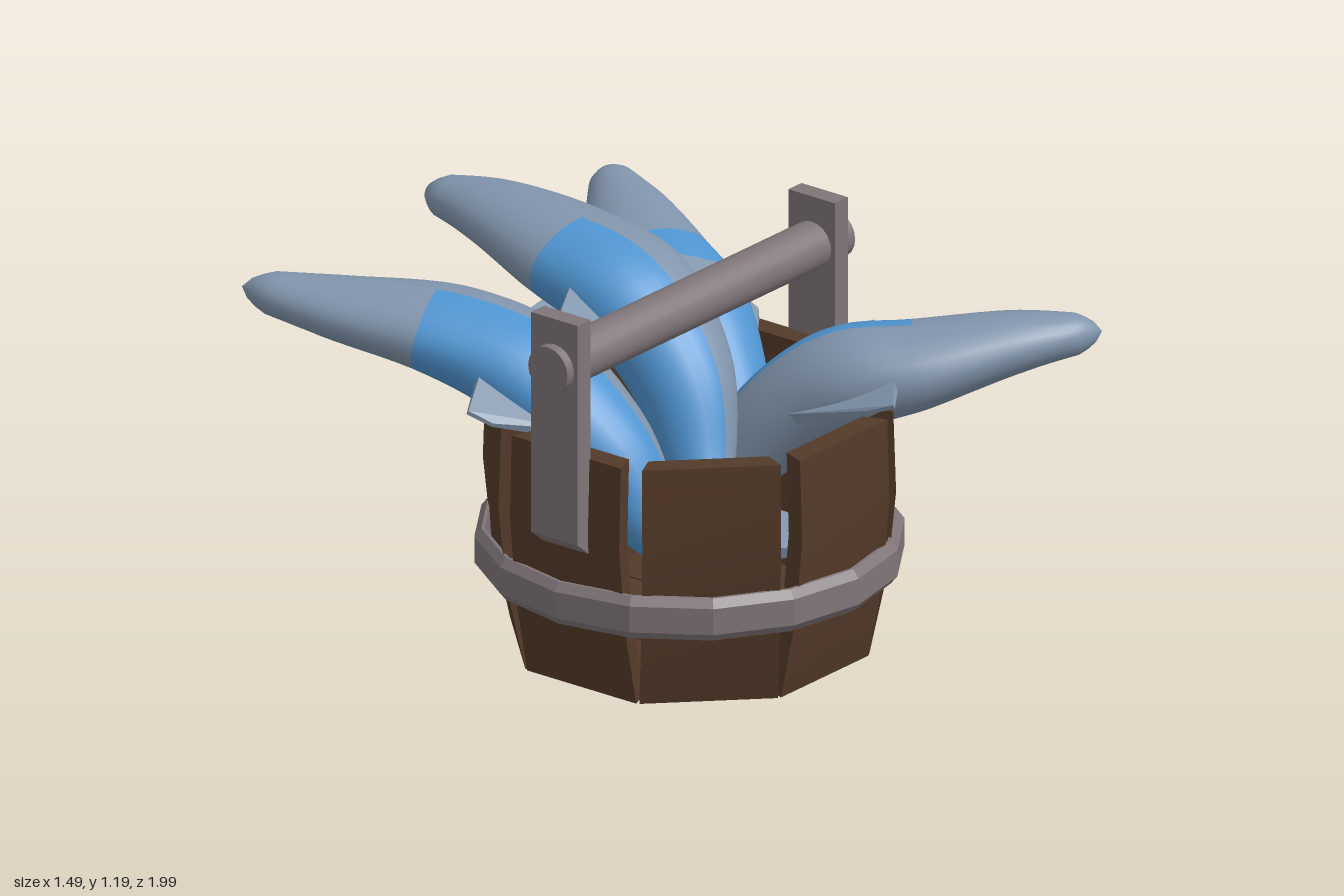
import * as THREE from 'three';
import { ConvexGeometry } from 'three/addons/geometries/ConvexGeometry.js';

const mat = (name, color) => {
  const m = new THREE.MeshStandardMaterial({ color });
  m.name = name;
  return m;
};
const V = (x, y, z) => new THREE.Vector3(x, y, z);

// Gives a geometry faceted normals
function faceted(geo) {
  const g = geo.index ? geo.toNonIndexed() : geo;
  g.computeVertexNormals();
  return g;
}

export function createModel() {
  const wood = mat('brownWood', 0x543a29);
  const metal = mat('greyMetal', 0x7f7579);
  const slate = mat('slateSkin', 0x8094ab);
  const blue = mat('blueSkin', 0x4f94d0);

  const model = new THREE.Group();
  model.name = 'bucketOfFish';
  const add = (parent, name, geo, material) => {
    const m = new THREE.Mesh(geo, material);
    m.name = name;
    parent.add(m);
    return m;
  };

  // ---- Bucket ----
  const bucket = new THREE.Group();
  bucket.name = 'bucket';
  bucket.position.set(-0.08, 0, 0.125);
  model.add(bucket);

  // Staves: boxes bent to a bulging profile, narrower on the inside
  const bulge = [0.495, 0.548, 0.573, 0.565];
  const staveGeo = new THREE.BoxGeometry(0.4, 0.75, 0.07, 1, 3, 1);
  const sp = staveGeo.attributes.position;
  for (let i = 0; i < sp.count; i++) {
    const row = Math.round((sp.getY(i) + 0.375) / 0.25);
    const inner = sp.getZ(i) < 0;
    sp.setXYZ(i, sp.getX(i) * (inner ? 0.87 : 1), row * 0.25, bulge[row] - (inner ? 0.07 : 0));
  }
  staveGeo.computeVertexNormals();
  for (let i = 0; i < 8; i++) {
    add(bucket, 'stave', staveGeo, wood).rotation.y = (i * Math.PI) / 4;
  }

  // Floor planks clipped to an octagon
  const a = 0.435, kink = a * Math.tan(Math.PI / 8);
  const depthAt = x => Math.min(a, a * Math.SQRT2 - Math.abs(x));
  for (let i = 0; i < 5; i++) {
    const w = (2 * a) / 5, x0 = -a + i * w + 0.004, x1 = -a + (i + 1) * w - 0.004;
    const xs = [x0, ...[-kink, kink].filter(k => k > x0 && k < x1), x1];
    const outline = [
      ...xs.map(x => new THREE.Vector2(x, -depthAt(x))),
      ...xs.slice().reverse().map(x => new THREE.Vector2(x, depthAt(x))),
    ];
    const plank = new THREE.ExtrudeGeometry(new THREE.Shape(outline), { depth: 0.04, bevelEnabled: false });
    plank.rotateX(-Math.PI / 2);
    add(bucket, 'floorPlank', plank, wood).position.y = 0.04;
  }

  // Hoop with chamfered edges
  const hoopProfile = [
    [0.59, 0.23], [0.6, 0.23], [0.62, 0.255], [0.62, 0.335], [0.6, 0.36], [0.59, 0.36], [0.59, 0.23],
  ].map(p => new THREE.Vector2(...p));
  add(bucket, 'hoop', faceted(new THREE.LatheGeometry(hoopProfile, 16)), metal);

  // Handle uprights, cut at a slant at the bottom
  for (const s of [-1, 1]) {
    const upright = new THREE.Shape([
      [0.56, 0.45], [0.62, 0.5], [0.62, 1.18], [0.56, 1.18],
    ].map(([x, y]) => new THREE.Vector2(s * x, y)));
    const geo = new THREE.ExtrudeGeometry(upright, { depth: 0.17, bevelEnabled: false });
    geo.translate(0, 0, -0.085);
    add(bucket, 'handleUpright', geo, metal);
  }
  const bar = new THREE.CylinderGeometry(0.072, 0.072, 1.32, 20);
  bar.rotateZ(Math.PI / 2);
  add(bucket, 'handleBar', bar, metal).position.set(0.01, 1.03, 0);

  // ---- Fish: rings swept from nose to tail ----
  const STEPS = 40, SIDES = 24;
  const girth = new THREE.CatmullRomCurve3([
    [0.05, 0.05], [0.135, 0.085], [0.2, 0.125], [0.205, 0.15], [0.165, 0.145], [0.11, 0.1], [0.06, 0.045],
  ].map(([w, h]) => V(w, h, 0)));

  // patch: [first angle, last angle, start along body] of the blue marking, angles from the back to the left
  // fin: reach sideways, sweep forwards and lift of the left fin (the right one drops as much)
  function fish({ name, path, width, patch, fin, tail, tailMat }) {
    const g = new THREE.Group();
    g.name = name;
    model.add(g);
    const pts = path.map(p => V(...p));
    const curve = new THREE.CatmullRomCurve3(pts);
    const left = V(0, 1, 0).cross(pts[0].clone().sub(pts[3]).setY(0)).normalize();
    const frame = t => {
      const c = curve.getPoint(t), fwd = curve.getTangent(t).negate();
      return { c, fwd, up: fwd.clone().cross(left).normalize() };
    };

    const pos = [], grey = [], marked = [];
    for (let i = 0; i <= STEPS; i++) {
      const t = Math.pow(i / STEPS, 1.15), { c, up } = frame(t), r = girth.getPoint(t);
      const round = Math.sqrt(Math.min(1, t / 0.045));
      for (let j = 0; j < SIDES; j++) {
        const th = (j / SIDES) * Math.PI * 2;
        const p = c.clone().addScaledVector(left, Math.sin(th) * r.x * round * width)
          .addScaledVector(up, Math.cos(th) * r.y * round);
        pos.push(p.x, p.y, p.z);
        if (i === STEPS) continue;
        const k = (j + 1) % SIDES, A = i * SIDES + j, B = i * SIDES + k;
        const turn = ((j + 0.5) * 360 / SIDES - patch[0] + 360) % 360;
        const list = t >= patch[2] && turn < patch[1] - patch[0] ? marked : grey;
        list.push(A, B, A + SIDES, B, B + SIDES, A + SIDES);
      }
    }
    const body = new THREE.BufferGeometry();
    body.setAttribute('position', new THREE.Float32BufferAttribute(pos, 3));
    body.setIndex([...grey, ...marked]);
    body.addGroup(0, grey.length, 0);
    body.addGroup(grey.length, marked.length, 1);
    body.computeVertexNormals();
    add(g, 'body', body, [slate, blue]);

    // Flat wedge through points given as [sideways, forward, lift, half thickness]
    const wedge = (partName, t, s, corners, material) => {
      const { c, fwd, up } = frame(t), list = [];
      for (const [x, f, lift, th] of corners) {
        for (const e of [-th, th]) {
          list.push(c.clone().addScaledVector(left, s * x).addScaledVector(fwd, f).addScaledVector(up, lift + e));
        }
      }
      add(g, partName, new ConvexGeometry(list), material);
    };
    const [reach, sweep, lift] = fin;
    for (const s of [-1, 1]) {
      wedge('sideFin', 0.5, s, [
        [0.12, 0.15, 0, 0.02], [0.12, -0.22, 0, 0.02],
        [reach, sweep, s * lift, 0.006], [reach - 0.03, sweep - 0.08, s * lift, 0.006],
      ], slate);
      wedge('tailFin', 0.97, s, [
        [0, 0.1, 0, 0.03], [0, -0.1, 0, 0.02], [tail, -0.14, 0, 0.012], [tail * 0.9, 0.0, 0, 0.012],
      ], tailMat);
    }
  }

  fish({
    name: 'middleFish', width: 1, patch: [0, 240, 0.33], fin: [0.37, 0, 0.02], tail: 0.13, tailMat: blue,
    path: [[-0.03, 1.105, -0.88], [-0.02, 1.1, -0.65], [-0.04, 1.055, -0.35], [-0.05, 0.985, -0.1],
      [-0.08, 0.8, 0.1], [-0.16, 0.57, 0.24], [-0.25, 0.42, 0.36]],
  });
  fish({
    name: 'rearRightFish', width: 1, patch: [0, 210, 0.28], fin: [0.33, 0.1, -0.06], tail: 0.16, tailMat: slate,
    path: [[-0.725, 1.0, -1.0], [-0.6, 0.96, -0.75], [-0.45, 0.91, -0.45], [-0.38, 0.82, -0.2],
      [-0.34, 0.64, 0.02], [-0.32, 0.45, 0.18], [-0.32, 0.36, 0.34]],
  });
  fish({
    name: 'rearLeftFish', width: 0.92, patch: [-165, 15, 0.33], fin: [0.26, 0.04, 0.1], tail: 0.2, tailMat: slate,
    path: [[0.63, 0.985, -0.75], [0.5, 0.95, -0.57], [0.34, 0.9, -0.36], [0.25, 0.83, -0.16],
      [0.18, 0.65, 0.02], [0.08, 0.43, 0.2], [-0.06, 0.35, 0.38]],
  });
  fish({
    name: 'frontFish', width: 0.87, patch: [0, 210, 0.3], fin: [0.28, 0.12, 0.02], tail: 0.15, tailMat: slate,
    path: [[0.73, 0.905, 0.99], [0.56, 0.885, 0.82], [0.35, 0.825, 0.61], [0.23, 0.78, 0.45],
      [0.14, 0.66, 0.3], [0.04, 0.45, 0.14], [-0.06, 0.27, 0.02]],
  });

  return model;
}
